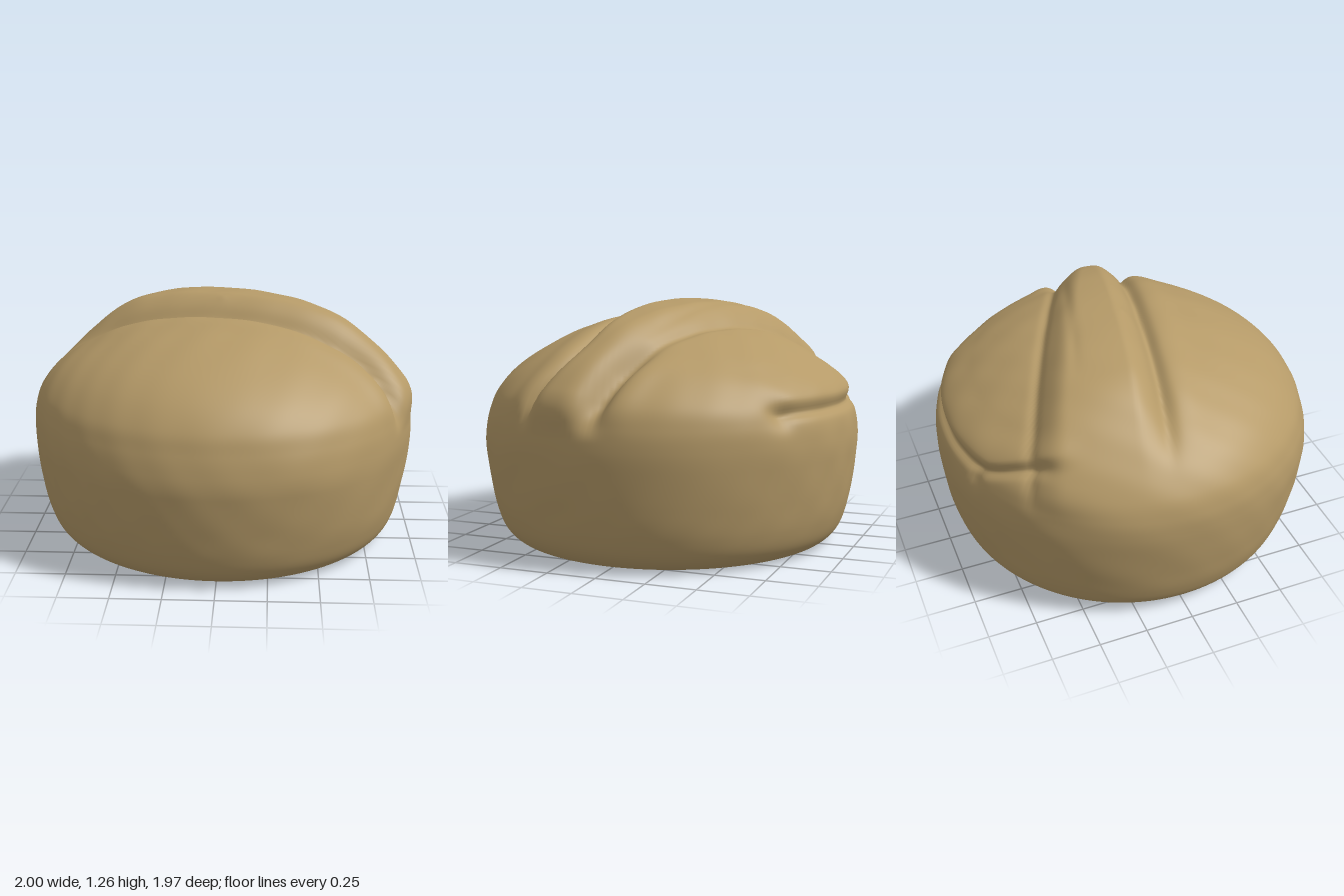
import * as THREE from 'three';
import { mergeVertices } from 'three/addons/utils/BufferGeometryUtils.js';

// Smooth step from a to b; a may be larger than b for a falling step
function smooth(a, b, v) {
  const t = THREE.MathUtils.clamp((v - a) / (b - a), 0, 1);
  return t * t * (3 - 2 * t);
}
const bell = (d, w) => Math.exp(-(d * d) / (w * w));

// Half cross-section of the loaf as [radius, height], from base centre to crown
const PROFILE = [
  [0, 0.012], [0.3, 0.011], [0.6, 0.007], [0.76, 0.004], [0.84, 0.02], [0.905, 0.08],
  [0.945, 0.18], [0.975, 0.33], [0.993, 0.48], [1, 0.6], [0.99, 0.7], [0.95, 0.8],
  [0.85, 0.91], [0.7, 1.01], [0.5, 1.1], [0.27, 1.155], [0, 1.175],
];

// Paths of the two splits that run across the crown
const frontSplit = (x) => 0.11 + 0.21 * x + 1.5 * Math.max(0, x - 0.6) ** 2;
const backSplit = (x) => -0.4 + 0.45 * x;

// Distance the crust is pushed out (or in) at a point of the plain loaf
function crustOffset(x, y, z) {
  const top = smooth(0.64, 0.84, y);
  const s1 = z - frontSplit(x);
  const s2 = z - backSplit(x);

  // raised ridge between the splits, steep in front and soft behind
  const ends = smooth(-0.95, -0.4, x) * (1 - 0.45 * smooth(0.5, 0.95, x));
  let d = 0.092 * ends * top * smooth(0.02, -0.15, s1) * smooth(-0.06, 0.16, s2);

  // crease in front of the ridge and the swollen lip beside it
  const run = smooth(-0.9, -0.5, x) * top;
  d -= 0.035 * run * bell(s1 - 0.005, 0.04);
  d += 0.014 * run * bell(s1 - 0.12, 0.09);

  // thin crease behind the ridge, opening into a notch at the left end
  d -= 0.014 * top * bell(s2 + 0.03, 0.03) * smooth(-0.8, -0.6, x);
  d -= 0.06 * top * bell(s2, 0.06) * smooth(0.58, 0.8, x);
  d += 0.015 * top * bell(s2 + 0.13, 0.07) * smooth(0.6, 0.85, x);

  // shallow fold along the top of the ridge
  d -= 0.007 * top * bell(s2 - 0.14 + 0.18 * x, 0.03) * smooth(-0.4, -0.1, x) * smooth(0.6, 0.3, x);

  // torn seam around the back rim, with an overhanging lip
  const along = smooth(-0.72, -0.6, x) * smooth(0.66, 0.5, x) * smooth(-0.4, -0.65, z);
  const seam = y - 0.76 - 0.12 * smooth(-0.35, -0.65, x);
  d -= 0.03 * along * bell(seam, 0.03);
  d += 0.016 * along * smooth(0, 0.05, seam) * smooth(0.2, 0.06, seam);
  const back = smooth(0, -0.3, z);
  d -= 0.025 * back * bell(x + 0.35, 0.04) * bell(y - 0.71, 0.06);
  d -= 0.025 * back * bell(x - 0.58, 0.05) * bell(y - 0.74, 0.06);

  // gentle unevenness of the crust
  const side = smooth(0.1, 0.3, y);
  d += 0.004 * side * Math.sin(5 * x + 3 * y) * Math.sin(6 * z - 4 * y + 1);
  d += 0.0015 * side * Math.sin(23 * x + 9 * z) * Math.sin(19 * y + 13 * z);
  return d;
}

function loafGeometry(around = 240, rings = 220) {
  const curve = new THREE.SplineCurve(PROFILE.map(([r, y]) => new THREE.Vector2(r, y)));
  const positions = [];
  const indices = [];
  for (let j = 0; j <= rings; j++) {
    const p = curve.getPointAt(j / rings);
    const t = curve.getTangentAt(j / rings);
    const pole = j === 0 || j === rings;
    for (let i = 0; i < around; i++) {
      const a = (i / around) * Math.PI * 2;
      const c = Math.cos(a);
      const s = Math.sin(a);
      const d = pole ? crustOffset(0, p.y, 0) : crustOffset(p.x * c, p.y, p.x * s);
      const r = pole ? 0 : p.x + t.y * d;
      // the front leans in toward the crown more than the back
      const lean = 0.99 - (s > 0 ? 0.01 + 0.02 * s : 0.01) * smooth(0.5, 0.75, p.y);
      positions.push(r * c, Math.max(0, p.y - t.x * d), r * s * lean);
    }
  }
  // quads between rings, with a single fan of triangles at each pole
  for (let j = 0; j < rings; j++) {
    for (let i = 0; i < around; i++) {
      const k = (i + 1) % around;
      const a = j * around + i;
      const b = a + around;
      const e = j * around + k;
      const f = e + around;
      if (j > 0) indices.push(a, b, e);
      if (j < rings - 1) indices.push(e, b, f);
    }
  }
  const geometry = new THREE.BufferGeometry();
  geometry.setAttribute('position', new THREE.Float32BufferAttribute(positions, 3));
  geometry.setIndex(indices);
  const merged = mergeVertices(geometry, 1e-5);
  merged.computeVertexNormals();
  return merged;
}

export function createModel() {
  const crust = new THREE.MeshStandardMaterial({ color: 0xb59a68 });
  crust.name = 'crust';

  const loaf = new THREE.Mesh(loafGeometry(), crust);
  loaf.name = 'breadRoll';

  const model = new THREE.Group();
  model.name = 'breadRollModel';
  model.add(loaf);
  return model;
}
